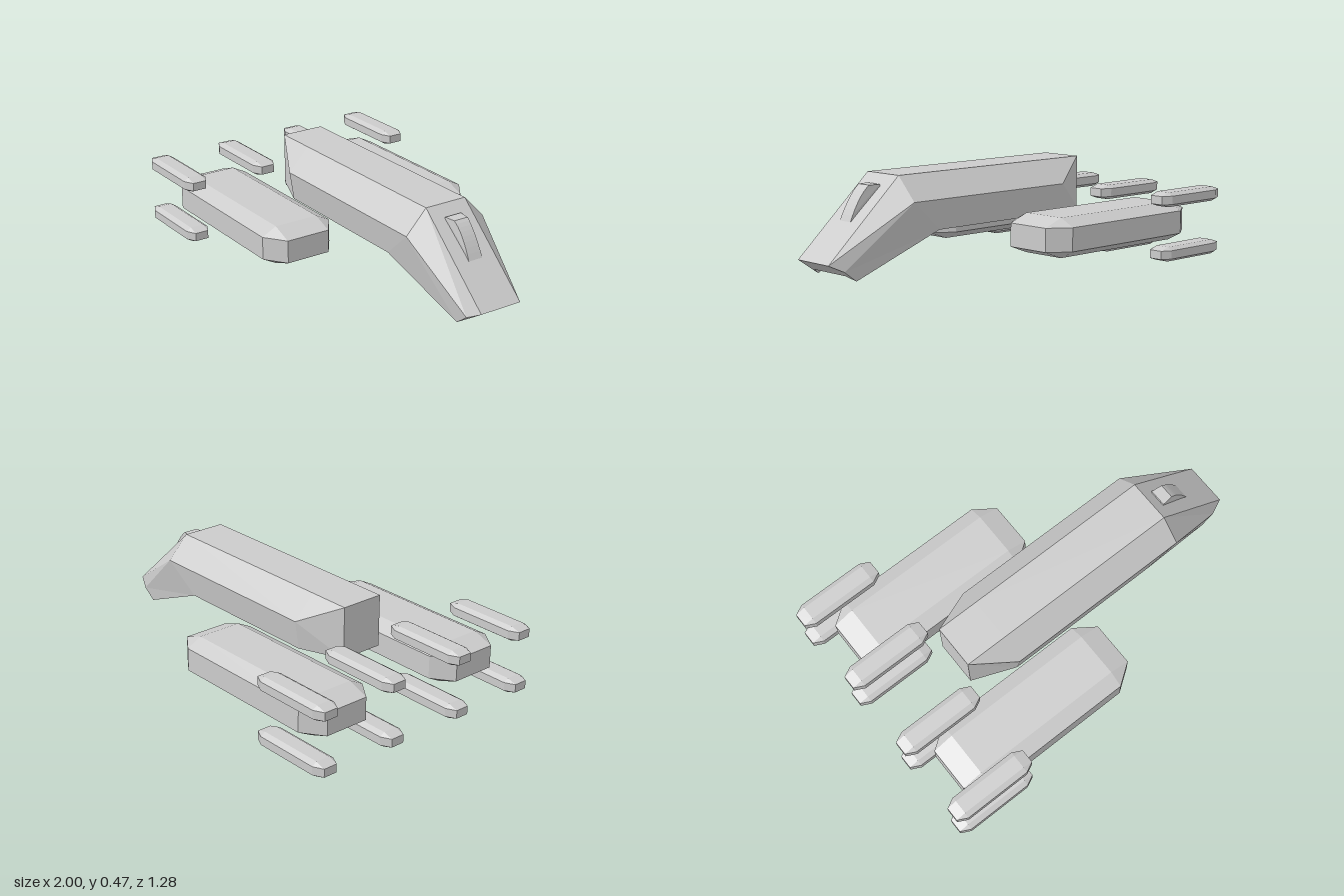
import * as THREE from 'three';

const material = new THREE.MeshStandardMaterial({ color: 0xcccccc, flatShading: true });
const smooth = new THREE.MeshStandardMaterial({ color: 0xcccccc, side: THREE.DoubleSide });

// Joins rings of [x, y, z] points, ordered from rear to nose, into a closed faceted solid.
// Each ring is given as its +z half, from top to bottom, and is mirrored here.
function loft(name, halves) {
  const rings = halves.map((h) => [...h, ...h.map(([x, y, z]) => [x, y, -z]).reverse()]
    .map((p) => new THREE.Vector3(...p)));
  const n = rings[0].length;
  const pos = [];
  const tri = (a, b, c) => {
    const area = b.clone().sub(a).cross(c.clone().sub(a)).length();
    if (area > 1e-7) for (const p of [a, b, c]) pos.push(p.x, p.y, p.z);
  };
  for (let i = 0; i + 1 < rings.length; i++) {
    for (let j = 0; j < n; j++) {
      const k = (j + 1) % n;
      tri(rings[i][j], rings[i][k], rings[i + 1][k]);
      tri(rings[i][j], rings[i + 1][k], rings[i + 1][j]);
    }
  }
  // end caps, wound to face away from the body
  for (const [ring, dir] of [[rings[0], -1], [rings[rings.length - 1], 1]]) {
    const flat = ring.map((p) => new THREE.Vector2(-p.z, p.y));
    for (const [a, b, c] of THREE.ShapeUtils.triangulateShape(flat, [])) {
      const turn = THREE.ShapeUtils.area([flat[a], flat[b], flat[c]]);
      if (turn * dir > 0) tri(ring[a], ring[b], ring[c]);
      else tri(ring[a], ring[c], ring[b]);
    }
  }
  const geometry = new THREE.BufferGeometry();
  geometry.setAttribute('position', new THREE.Float32BufferAttribute(pos, 3));
  geometry.computeVertexNormals();
  const mesh = new THREE.Mesh(geometry, material);
  mesh.name = name;
  return mesh;
}

// Box with every edge chamfered: half sizes hx, hy, hz; end chamfer cx; flat half sizes fy, fz
function pod(name, hx, hy, hz, cx, fy, fz) {
  const end = (x) => [[x, fy, fz], [x, fy, fz], [x, -fy, fz], [x, -fy, fz]];
  const body = (x) => [[x, hy, fz], [x, fy, hz], [x, -fy, hz], [x, -hy, fz]];
  return loft(name, [end(-hx), body(-hx + cx), body(hx - cx), end(hx)]);
}

// Canopy bump: side profile extruded across, narrowing towards the nose
function canopy() {
  const s = new THREE.Shape();
  s.moveTo(0.65, 0.4);
  s.lineTo(0.66, 0.43);
  s.lineTo(0.715, 0.43);
  s.quadraticCurveTo(0.77, 0.39, 0.822, 0.277);
  s.lineTo(0.78, 0.28);
  const geometry = new THREE.ExtrudeGeometry(s, { depth: 1, bevelEnabled: false, curveSegments: 8 });
  const p = geometry.attributes.position;
  for (let i = 0; i < p.count; i++) {
    const t = THREE.MathUtils.clamp((p.getX(i) - 0.65) / 0.17, 0, 1);
    const half = 0.045 - 0.03 * t + 0.022 * t * t;
    p.setZ(i, (p.getZ(i) - 0.5) * 2 * half);
  }
  geometry.computeVertexNormals();
  const mesh = new THREE.Mesh(geometry, smooth);
  mesh.name = 'canopy';
  return mesh;
}

export function createModel() {
  const model = new THREE.Group();
  model.name = 'spaceship';

  // Hull: pinched stern, straight body, drooping nose with a notched lip
  const hull = loft('hull', [
    [[-0.545, 0.47, 0.107], [-0.545, 0.47, 0.107], [-0.545, 0.22, 0.107], [-0.545, 0.22, 0.1]],
    [[-0.335, 0.47, 0.107], [-0.335, 0.36, 0.212], [-0.335, 0.22, 0.19], [-0.335, 0.22, 0.1]],
    [[0.605, 0.47, 0.107], [0.605, 0.36, 0.212], [0.44, 0.22, 0.19], [0.44, 0.22, 0.1]],
    [[1, 0.115, 0.107], [0.935, 0.083, 0.135], [0.87, 0.035, 0.135], [0.91, 0.06, 0.11]],
  ]);
  const body = new THREE.Group();
  body.name = 'body';
  body.add(hull, canopy());
  body.position.z = 0.01;
  model.add(body);

  for (const side of [1, -1]) {
    const label = side > 0 ? 'left' : 'right';

    // Large engine pod beside the hull
    const engine = pod(label + 'EnginePod', 0.4825, 0.0925, 0.182, 0.102, 0.055, 0.11);
    engine.position.set(-0.397, 0.168, side * 0.387 + 0.004);
    model.add(engine);

    // Four small thrusters around the rear of the pod
    for (const z of [0.198, 0.582]) {
      for (const y of [0.035, 0.296]) {
        const thruster = pod(label + 'Thruster', 0.213, 0.035, 0.058, 0.048, 0.02, 0.034);
        thruster.position.set(-0.787, y, side * z);
        model.add(thruster);
      }
    }
  }
  return model;
}
